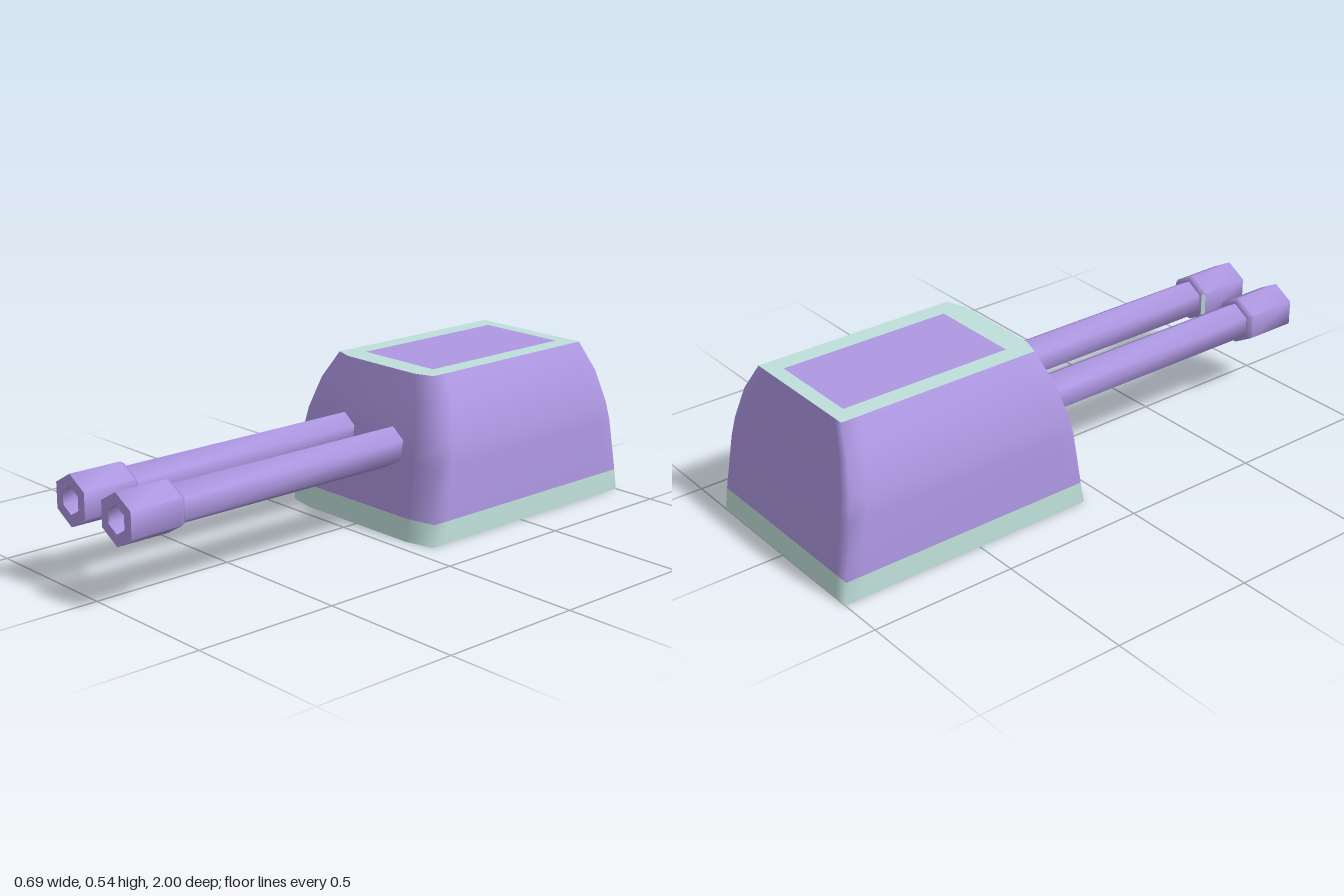
import * as THREE from 'three';
import { toCreasedNormals } from 'three/addons/utils/BufferGeometryUtils.js';

const purple = new THREE.MeshStandardMaterial({ color: 0xae97e2 });
const mint = new THREE.MeshStandardMaterial({ color: 0xc0e0da });

// Housing levels: height, half width, back z, front z
const LEVELS = [
  [0, 0.345, -1, -0.055],
  [0.075, 0.342, -0.99, -0.067],
  [0.26, 0.333, -0.962, -0.092],
  [0.33, 0.322, -0.95, -0.105],
  [0.44, 0.287, -0.928, -0.135],
  [0.535, 0.228, -0.905, -0.165],
];

// Outline of one level as [x, z]: bowed front, square back
function outline([, w, back, front]) {
  const corner = front - 0.023;
  const half = [[w * 0.7, front], [w, corner], [w, corner - 0.06], [w, back + 0.06], [w, back], [w * 0.85, back]];
  return [...half, ...half.map(([x, z]) => [-x, z]).reverse()];
}

// Loft with shared vertices, so that the walls blend smoothly
function loftGeometry() {
  const n = 12, pos = [], idx = [];
  LEVELS.forEach(l => outline(l).forEach(([x, z]) => pos.push(x, l[0], z)));
  for (let r = 0; r < LEVELS.length - 1; r++) {
    for (let i = 0; i < n; i++) {
      const a = r * n + i, b = r * n + (i + 1) % n;
      idx.push(a, b, b + n, a, b + n, a + n);
    }
  }
  const g = new THREE.BufferGeometry();
  g.setAttribute('position', new THREE.Float32BufferAttribute(pos, 3));
  g.setIndex(idx);
  g.computeVertexNormals();
  g.addGroup(0, n * 6, 0);
  g.addGroup(n * 6, Infinity, 1);
  return g;
}

function add(group, name, geometry, material) {
  const mesh = new THREE.Mesh(geometry, material);
  mesh.name = name;
  group.add(mesh);
  return mesh;
}

// Flat cap with a rectangular inset of the other colour; dir is 1 (up) or -1 (down)
function addCap(group, name, level, dir, w, z0, z1, rimMaterial, insetMaterial) {
  const pts = list => list.map(([x, z]) => new THREE.Vector2(x, -dir * z));
  const inset = pts([[-w, z0], [w, z0], [w, z1], [-w, z1]]);
  const rim = new THREE.Shape(pts(outline(level)));
  rim.holes.push(new THREE.Path(inset));
  [[rim, 'Rim', rimMaterial], [new THREE.Shape(inset), 'Panel', insetMaterial]].forEach(([shape, part, mat]) => {
    const g = new THREE.ShapeGeometry(shape);
    g.rotateX(-dir * Math.PI / 2).translate(0, level[0], 0);
    add(group, name + part, g, mat);
  });
}

// Six-sided barrel with a thicker, hollow muzzle
function barrelGeometry() {
  const profile = [
    [0, -0.15], [0.067, -0.15], [0.067, 0.8], [0.076, 0.8], [0.085, 0.815],
    [0.085, 1], [0.046, 1], [0.046, 0.88], [0, 0.88],
  ].map(([r, z]) => new THREE.Vector2(r, z));
  const g = new THREE.LatheGeometry(profile, 6);
  g.rotateX(Math.PI / 2);
  // a corner points straight up
  const p = g.attributes.position;
  let top = 0;
  for (let i = 0; i < p.count; i++) top = Math.max(top, p.getY(i));
  if (top < 0.08) g.rotateZ(Math.PI / 6);
  return toCreasedNormals(g, 1.1);
}

export function createModel() {
  const model = new THREE.Group();
  model.name = 'gunTurret';

  const housing = new THREE.Group();
  housing.name = 'housing';
  model.add(housing);
  add(housing, 'walls', loftGeometry(), [mint, purple]);
  addCap(housing, 'roof', LEVELS[5], 1, 0.163, -0.855, -0.25, mint, purple);
  addCap(housing, 'base', LEVELS[0], -1, 0.18, -0.92, -0.17, purple, mint);

  const barrel = barrelGeometry();
  for (const side of [-1, 1]) {
    add(model, side > 0 ? 'leftBarrel' : 'rightBarrel', barrel, purple).position.set(side * 0.118, 0.29, 0);
  }

  // Small coloured facet on the inner bevel of the left muzzle
  const facet = new THREE.PlaneGeometry(0.015, 0.078);
  facet.rotateY(-Math.PI / 2 - 0.48);
  add(model, 'muzzleMark', facet, mint).position.set(0.118 - 0.0705, 0.29, 0.807);
  return model;
}
